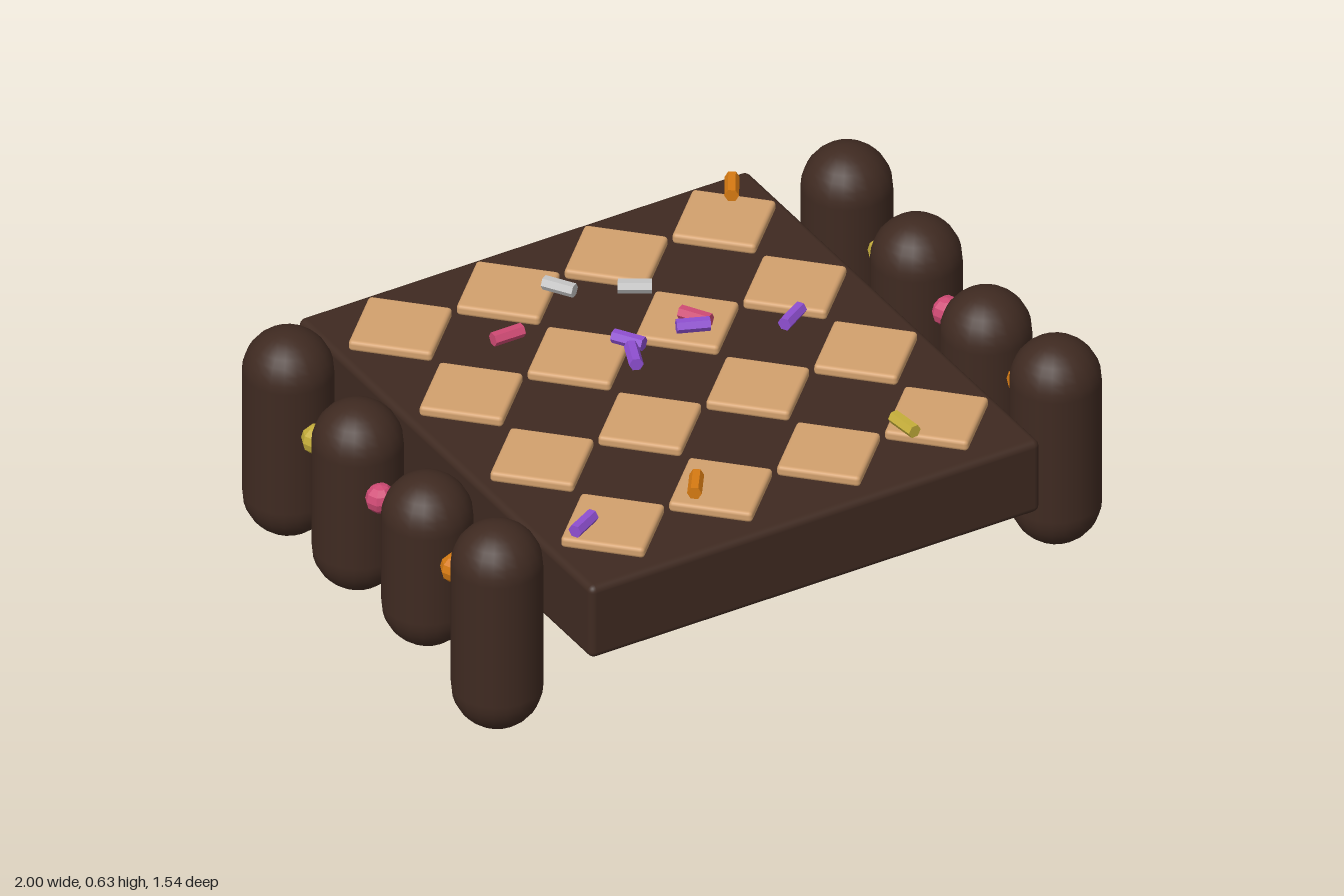
import * as THREE from 'three';
import { RoundedBoxGeometry } from 'three/addons/geometries/RoundedBoxGeometry.js';

export function createModel() {
  const model = new THREE.Group();
  const mat = (name, color, flatShading = false) => {
    const m = new THREE.MeshStandardMaterial({ color, flatShading });
    m.name = name;
    return m;
  };
  const chocolate = mat('chocolate', 0x3f2a21);
  const wafer = mat('wafer', 0xd2a06d);
  const orange = mat('orange', 0xd67a12, true);
  const purple = mat('purple', 0x8e4fd0, true);
  const pink = mat('pink', 0xcf4a74, true);
  const gold = mat('gold', 0xc4ad3a, true);
  const silver = mat('silver', 0xc4c4c4, true);

  const add = (name, geometry, material, x, y, z) => {
    const mesh = new THREE.Mesh(geometry, material);
    mesh.name = name;
    mesh.position.set(x, y, z);
    model.add(mesh);
    return mesh;
  };

  // Slab
  add('slab', new RoundedBoxGeometry(1.41, 0.23, 1.54, 3, 0.02), chocolate, 0, 0.371, 0);

  // Diamond tiles in a four by four grid
  const tile = new RoundedBoxGeometry(0.232, 0.032, 0.232, 2, 0.011);
  for (let i = 0; i < 4; i++) {
    for (let j = 0; j < 4; j++) {
      add('tile', tile, wafer, (i - 1.5) * 0.338, 0.501, -0.004 + (j - 1.5) * 0.371)
        .rotation.y = Math.PI / 4;
    }
  }

  // Rounded posts and the beads between them, on both sides: [z, bottom, top]
  const posts = [[-0.532, 0, 0.635], [-0.168, 0.032, 0.61], [0.197, 0.06, 0.583], [0.562, 0, 0.635]];
  const beads = [[-0.363, gold], [-0.03, pink], [0.365, orange]];
  const bead = new THREE.SphereGeometry(0.043, 8, 6);
  for (const side of [-1, 1]) {
    for (const [z, low, high] of posts) {
      const post = new THREE.CapsuleGeometry(0.125, high - low - 0.25, 8, 20);
      add('post', post, chocolate, side * 0.875, (low + high) / 2, z);
    }
    for (const [z, material] of beads) add('bead', bead, material, side * 0.887, 0.388, z);
  }

  // Scattered sprinkles: [material, x, z, direction x, direction z]
  const sprinkle = new THREE.CylinderGeometry(0.02, 0.02, 0.092, 6).rotateZ(Math.PI / 2);
  const sprinkles = [
    [orange, 0.588, -0.655, 8, -13], [silver, -0.06, -0.475, 9, 14],
    [silver, 0.115, -0.372, 15, 9], [pink, -0.3, -0.345, 1, 0],
    [purple, -0.033, -0.157, 9, 14], [purple, -0.06, -0.085, 6, -15],
    [purple, 0.153, -0.13, 15, 6], [pink, 0.18, -0.163, 9, 15],
    [purple, 0.404, -0.03, 15, -9], [purple, -0.595, 0.547, 15, -8],
    [orange, -0.238, 0.537, 9, -13], [gold, 0.393, 0.575, 2, 17],
  ];
  for (const [material, x, z, dx, dz] of sprinkles) {
    add('sprinkle', sprinkle, material, x, 0.535, z).rotation.y = Math.atan2(-dz, dx);
  }
  return model;
}
